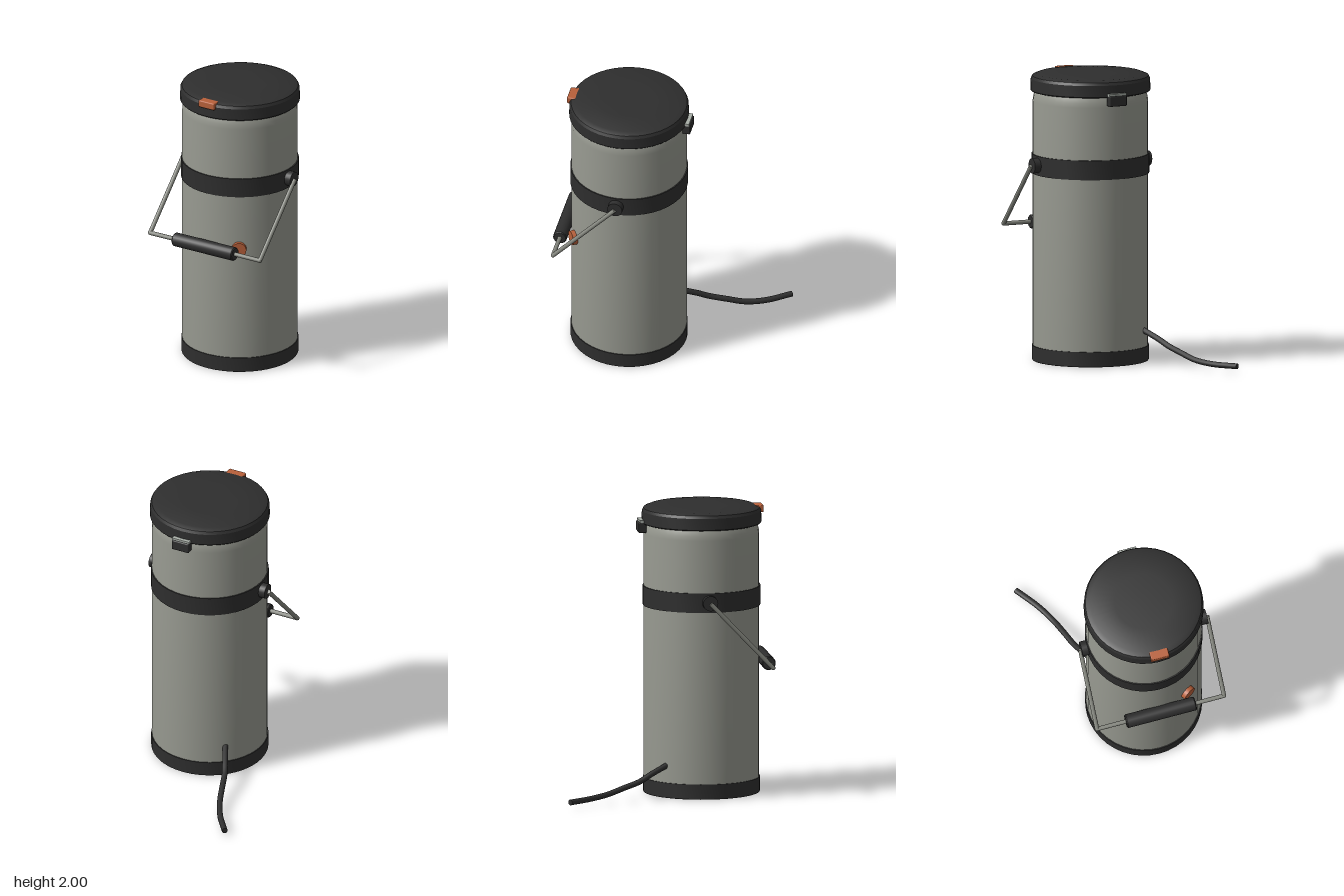
import * as THREE from 'three';
import { toCreasedNormals } from 'three/addons/utils/BufferGeometryUtils.js';
import { RoundedBoxGeometry } from 'three/addons/geometries/RoundedBoxGeometry.js';

const CX = 0.088, CZ = 0.267; // axis of the canister

function material(name, color) {
  const m = new THREE.MeshStandardMaterial({ color });
  m.name = name;
  return m;
}

export function createModel() {
  const model = new THREE.Group();
  model.name = 'lidded canister';
  const grey = material('warm grey', 0x96988f);
  const dark = material('charcoal', 0x2e2e2e);
  const orange = material('burnt orange', 0xb8603a);
  const steel = material('steel', 0x85877f);
  const pale = material('pale steel', 0xa9afa8);

  function add(name, geometry, mat, x = 0, y = 0, z = 0) {
    const mesh = new THREE.Mesh(geometry, mat);
    mesh.name = name;
    mesh.position.set(x, y, z);
    model.add(mesh);
    return mesh;
  }

  // Turned part from [radius, y] pairs, rising along the outside
  function turned(name, profile, mat, sides = 40) {
    const points = profile.map(([r, y]) => new THREE.Vector2(r, y));
    return add(name, toCreasedNormals(new THREE.LatheGeometry(points, sides), 0.4), mat, CX, 0, CZ);
  }

  // Round bar between two points
  function bar(name, a, b, r, mat, sides = 12) {
    const dir = b.clone().sub(a);
    const mesh = add(name, new THREE.CylinderGeometry(r, r, dir.length(), sides), mat);
    mesh.position.copy(a).add(b).multiplyScalar(0.5);
    mesh.quaternion.setFromUnitVectors(new THREE.Vector3(0, 1, 0), dir.normalize());
    return mesh;
  }

  // Canister
  turned('body', [[0.397, 0.09], [0.397, 1.8], [0.393, 1.83], [0.382, 1.87], [0.37, 1.89]], grey);
  turned('base', [[0, 0], [0.399, 0], [0.403, 0.006], [0.403, 0.105], [0.395, 0.105]], dark);
  turned('band', [[0.395, 1.3], [0.405, 1.3], [0.405, 1.435], [0.395, 1.435]], dark);
  turned('lid', [[0, 1.87], [0.408, 1.87], [0.413, 1.876], [0.41, 1.955], [0.4, 1.974],
    [0.365, 1.988], [0.2, 1.996], [0, 2]], dark);

  // Opening tab at the front, hinge at the back
  add('lidTab', new RoundedBoxGeometry(0.13, 0.05, 0.065, 2, 0.008), orange, CX + 0.002, 1.962, 0.659);
  add('hinge', new RoundedBoxGeometry(0.132, 0.072, 0.055, 2, 0.008), dark, CX + 0.002, 1.848, -0.15);
  add('hingePlate', new THREE.BoxGeometry(0.13, 0.018, 0.045), pale, CX + 0.002, 1.89, -0.147);

  // Swinging handle
  const gripY = 0.915, gripZ = 0.7, pivotY = 1.37;
  const corners = [];
  for (const side of [-1, 1]) {
    const x = CX + side * 0.453;
    const top = new THREE.Vector3(x, pivotY, CZ);
    const low = new THREE.Vector3(x, gripY, gripZ);
    corners.push(low);
    bar('handleArm', top, low, 0.015, steel);
    add('handleCorner', new THREE.SphereGeometry(0.015, 12, 8), steel, x, gripY, gripZ);
    bar('handlePivot', new THREE.Vector3(CX + side * 0.38, pivotY, CZ),
      new THREE.Vector3(CX + side * 0.448, pivotY, CZ), 0.052, dark, 24);
  }
  bar('handleRod', corners[0], corners[1], 0.015, steel);
  const gripProfile = [[0, -0.248], [0.042, -0.248], [0.048, -0.241], [0.048, 0.241], [0.042, 0.248], [0, 0.248]];
  const grip = add('handleGrip', toCreasedNormals(new THREE.LatheGeometry(
    gripProfile.map(([r, y]) => new THREE.Vector2(r, y)), 20), 0.4), dark, CX, gripY, gripZ);
  grip.rotation.z = Math.PI / 2;

  // Round button, facing outward from the wall
  const out = new THREE.Vector3(0.54, 0, 0.84).normalize();
  const centre = new THREE.Vector3(CX, 0.915, CZ);
  bar('button', centre.clone().addScaledVector(out, 0.38), centre.clone().addScaledVector(out, 0.426),
    0.051, orange, 24);

  // Power cord trailing from the back
  const path = new THREE.CatmullRomCurve3([
    [-0.17, 0.23, 0.0], [-0.235, 0.173, -0.13], [-0.275, 0.13, -0.215], [-0.315, 0.095, -0.33],
    [-0.36, 0.06, -0.45], [-0.43, 0.043, -0.58], [-0.545, 0.04, -0.735],
  ].map((p) => new THREE.Vector3(...p)));
  add('cord', new THREE.TubeGeometry(path, 40, 0.02, 10), dark);
  const end = path.getPoint(1), tangent = path.getTangent(1);
  bar('cordEnd', end.clone().addScaledVector(tangent, -0.005), end.clone().addScaledVector(tangent, 0.001), 0.02, dark);

  return model;
}
